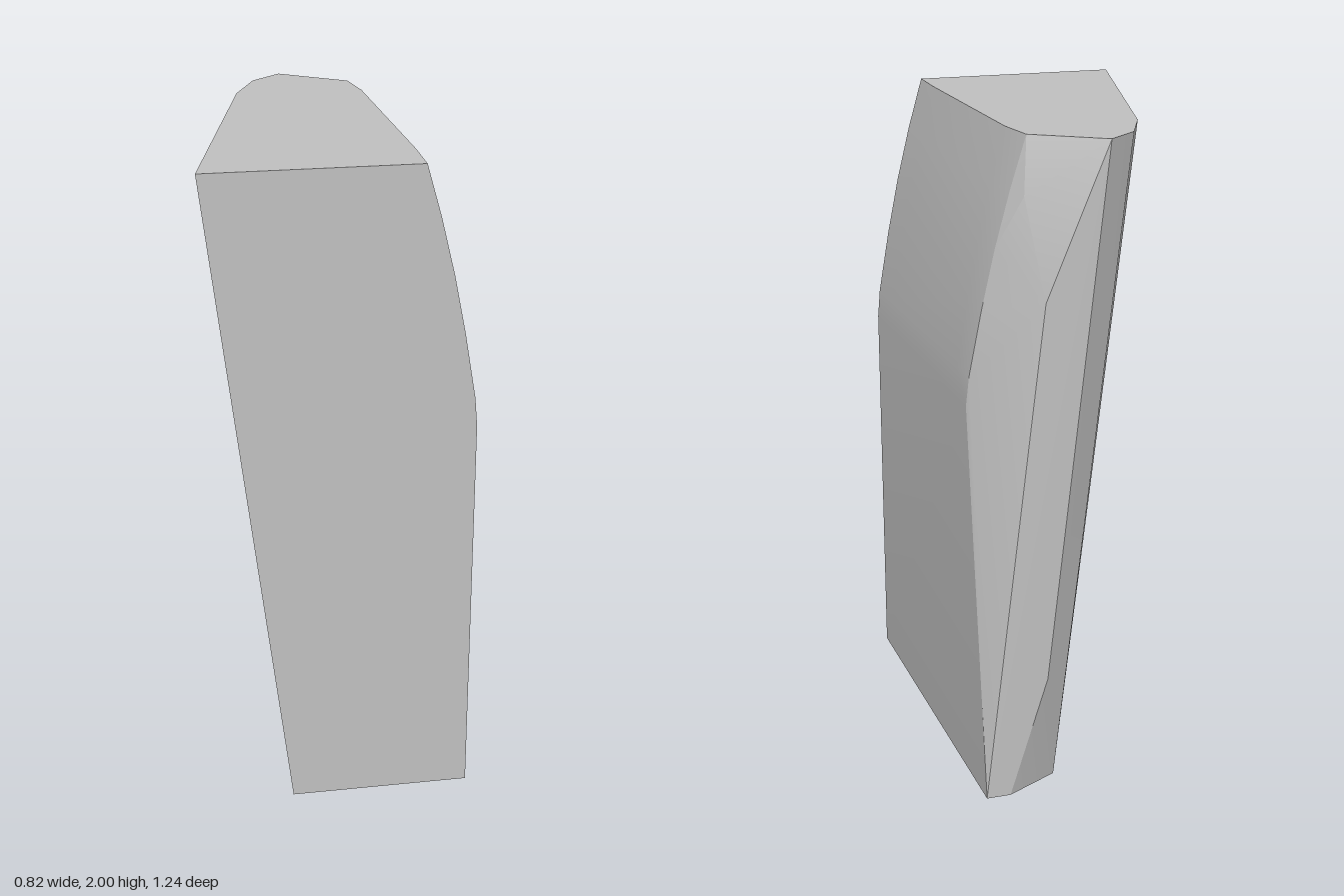
import * as THREE from 'three';
import { ConvexGeometry } from 'three/addons/geometries/ConvexGeometry.js';
import { toCreasedNormals } from 'three/addons/utils/BufferGeometryUtils.js';

export function createModel() {
  const group = new THREE.Group();
  const stone = new THREE.MeshStandardMaterial({ color: 0xc0c0c0 });
  stone.name = 'paleGrey';

  const points = [];
  const add = (x, y, z) => points.push(new THREE.Vector3(x, y, z));

  // leaning left side, rounded towards the back: top outline
  [[-0.41, 0.62], [-0.155, -0.35], [-0.075, -0.53], [0.025, -0.62]].forEach(([x, z]) => add(x, 2, z));

  // narrow foot outline
  [[-0.14, 0.62], [0.41, 0.62], [0.41, -0.62], [0.335, -0.62], [0.168, -0.53]].forEach(([x, z]) => add(x, 0, z));

  // right side: upright below, curving inwards above
  const profile = [[0.41, 1.2], [0.402, 1.29], [0.367, 1.49], [0.33, 1.67], [0.288, 1.84], [0.242, 2]];
  for (const [x, y] of profile) {
    const t = (y - 1.2) / 0.8;
    add(x, y, 0.62);
    add(x + 0.006 * t, y, 0.45);
    add(x + 0.006 * t, y, -0.33);
    add(x - 0.012 * t, y, -0.445 - 0.03 * t);
  }

  // chipped back right edge
  add(0.25, 1.83, -0.515);
  add(0.22, 1.54, -0.62);

  // lower corner of the narrow back face
  add(0.215, 0.37, -0.62);

  const block = new THREE.Mesh(toCreasedNormals(new ConvexGeometry(points), 0.3), stone);
  block.name = 'stoneBlock';
  group.add(block);
  return group;
}
